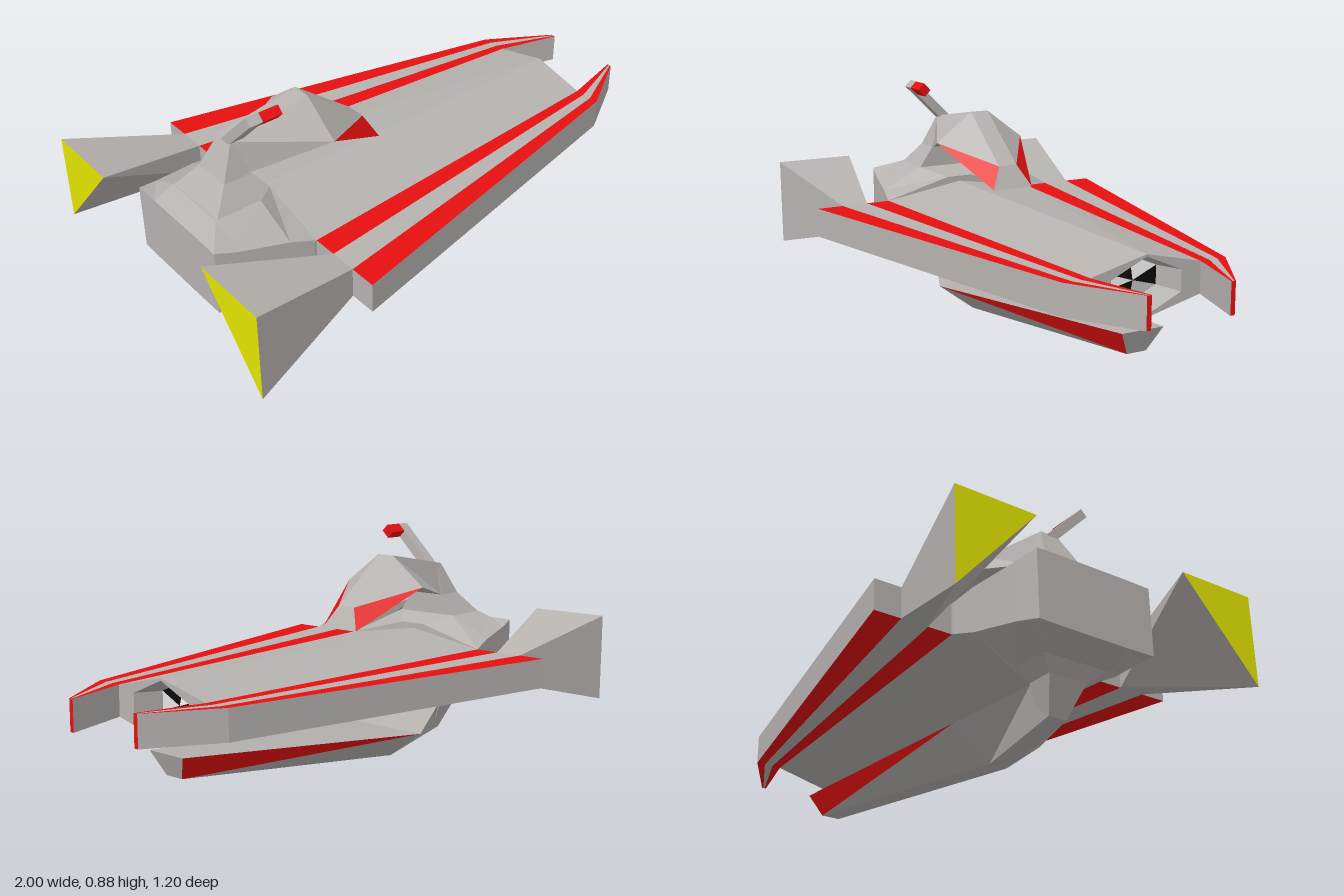
import * as THREE from 'three';

const mat = (name, color) => {
  const m = new THREE.MeshStandardMaterial({ color });
  m.name = name;
  return m;
};

// Flat-faced mesh from polygons; every triangle is turned away from the centre
// (or towards it when inward is true).
function faceted(name, material, polys, centre, inward = false) {
  const c = new THREE.Vector3(...centre), pos = [];
  for (const poly of polys) {
    const p = poly.map(q => new THREE.Vector3(...q));
    for (let i = 1; i < p.length - 1; i++) {
      const t = [p[0], p[i], p[i + 1]];
      const n = t[1].clone().sub(t[0]).cross(t[2].clone().sub(t[0]));
      const mid = t[0].clone().add(t[1]).add(t[2]).divideScalar(3).sub(c);
      if ((n.dot(mid) < 0) !== inward) t.reverse();
      t.forEach(v => pos.push(v.x, v.y, v.z));
    }
  }
  const g = new THREE.BufferGeometry();
  g.setAttribute('position', new THREE.Float32BufferAttribute(pos, 3));
  g.computeVertexNormals();
  const mesh = new THREE.Mesh(g, material);
  mesh.name = name;
  return mesh;
}

// Quads joining consecutive rings of equal length
function bridge(rings) {
  const out = [];
  for (let r = 0; r < rings.length - 1; r++) {
    const a = rings[r], b = rings[r + 1], n = a.length;
    for (let i = 0; i < n; i++) out.push([a[i], a[(i + 1) % n], b[(i + 1) % n], b[i]]);
  }
  return out;
}

// Six-sided section with a ridge above and below
const MID = 0.375;
const hexRing = (x, halfW, sideH, ridgeH) => [
  [x, MID + ridgeH, 0], [x, MID + sideH, halfW], [x, MID - sideH, halfW],
  [x, MID - ridgeH, 0], [x, MID - sideH, -halfW], [x, MID + sideH, -halfW]];

// Eight-sided section with a flat top and bottom
const octRing = (x, w, h, topW, topH) => [
  [x, MID + topH, topW], [x, MID + h, w], [x, MID - h, w], [x, MID - topH, topW],
  [x, MID - topH, -topW], [x, MID - h, -w], [x, MID + h, -w], [x, MID + topH, -topW]];

export function createModel() {
  const grey = mat('hullGrey', 0xb6b2b0), red = mat('stripeRed', 0xe61010);
  const yellow = mat('exhaustYellow', 0xe2e400);
  const black = mat('intakeBlack', 0x0a0a0a), white = mat('intakeWhite', 0xf4f4f4);
  const model = new THREE.Group();
  model.name = 'spaceship';

  // Long hull with an open bow
  const bow = hexRing(0.76, 0.21, 0.055, 0.105);
  const mouth = hexRing(0.76, 0.135, 0.037, 0.097);
  const throat = hexRing(0.66, 0.105, 0.033, 0.08);
  model.add(faceted('hull', grey, bridge([hexRing(-0.58, 0.31, 0.055, 0.105), bow]), [0, MID, 0]));
  model.add(faceted('bowFrame', grey, bridge([bow, mouth]), [0, MID, 0]));
  model.add(faceted('intakeWall', grey, bridge([mouth, throat]), [0.71, MID, 0], true));

  // Alternating panels at the bottom of the intake
  const hub = [0.68, MID, 0];
  const sectors = throat.map((p, i) => [p, throat[(i + 1) % 6], hub]);
  [white, black].forEach((m, k) => model.add(faceted(
    k ? 'darkIntakePanels' : 'lightIntakePanels', m,
    sectors.filter((_, i) => (i + 1) % 2 === k), [0, MID, 0])));

  // Bevelled engine block at the stern
  const block = [octRing(-0.57, 0.31, 0.055, 0.05, 0.125), octRing(-0.66, 0.29, 0.08, 0.13, 0.157),
    octRing(-0.835, 0.25, 0.105, 0.13, 0.157), octRing(-0.91, 0.23, 0.122, 0.13, 0.124)];
  model.add(faceted('engineBlock', grey, [...bridge(block), block[0], block[3]], [-0.74, MID, 0]));

  // Side wings with stripes, and flared tail fins
  for (const s of [1, -1]) {
    const wing = new THREE.Group();
    wing.name = s > 0 ? 'leftWing' : 'rightWing';
    const stations = [[-0.57, 0.30, 0.60], [0.76, 0.21, 0.31], [1, 0.147, 0.164]];
    const at = ([x, a, b], t, y) => [x, y, s * (a + (b - a) * t)];
    const centre = [0.2, MID, s * 0.35];
    const strip = (t0, t1) => [0.32, 0.43].flatMap(y => [0, 1].map(i => [
      at(stations[i], t0, y), at(stations[i], t1, y),
      at(stations[i + 1], t1, y), at(stations[i + 1], t0, y)]));
    const wall = t => [0, 1].map(i => [
      at(stations[i], t, 0.32), at(stations[i], t, 0.43),
      at(stations[i + 1], t, 0.43), at(stations[i + 1], t, 0.32)]);
    const end = st => [at(st, 0, 0.32), at(st, 1, 0.32), at(st, 1, 0.43), at(st, 0, 0.43)];
    wing.add(faceted('wingBody', grey, [...strip(1 / 3, 2 / 3), ...wall(1), end(stations[0])], centre));
    // the inner wall faces the centreline
    wing.add(faceted('wingInnerWall', grey, wall(0), [0.2, MID, s * 3]));
    wing.add(faceted('wingStripes', red, [...strip(0, 1 / 3), ...strip(2 / 3, 1)], centre));
    wing.add(faceted('wingTip', red, [end(stations[2])], centre));

    const root = [[0.43, 0.4], [0.43, 0.5], [0.32, 0.5], [0.32, 0.4]].map(([y, z]) => [-0.57, y, s * z]);
    const tail = [[0.54, 0.3], [0.54, 0.6], [0.21, 0.6]].map(([y, z]) => [-1, y, s * z]);
    wing.add(faceted('tailFin', grey, [
      [root[0], root[1], tail[1], tail[0]], [root[1], root[2], tail[2], tail[1]],
      [root[2], root[3], tail[2]], [root[3], tail[0], tail[2]], [root[3], root[0], tail[0]],
    ], [-0.8, 0.4, s * 0.48]));
    wing.add(faceted('finExhaust', yellow, [tail], [-0.8, 0.4, s * 0.48]));
    model.add(wing);
  }

  // Wedge-shaped pod on a flared neck; used above and, longer, below
  function pod(name, { ys, nose, neck, baseX, centre, neckCentre }) {
    const g = new THREE.Group();
    g.name = name;
    const [yRear, yRearLow, yRidge, ySide] = ys;
    const section = (xa, ya, za, xb, yb, zb) => [[xa, ya, -za], [xa, ya, za], [xb, yb, zb], [xb, yb, -zb]];
    const a = section(-0.70, yRear, 0.035, -0.66, yRearLow, 0.07);
    const b = section(-0.39, yRidge, 0.035, -0.39, ySide, 0.18);
    const c = section(nose[0], nose[1], 0.037, nose[2], nose[3], 0.08);
    g.add(faceted('podShell', grey, [
      a, c, ...bridge([a, b]),
      [b[0], b[1], c[1], c[0]], [b[2], b[3], c[3], c[2]],
      [b[1], b[2], c[1]], [b[0], b[3], c[0]]], centre));
    g.add(faceted('podCheeks', red, [[b[2], c[2], c[1]], [b[3], c[3], c[0]]], centre));
    const ring = (x, y, z) => [[x, y, -z], [-0.66, y, -z], [-0.66, y, z], [x, y, z]];
    g.add(faceted('podNeck', grey, bridge([
      ring(baseX, neck, 0.13), ring(-0.76, yRearLow, 0.075), ring(-0.70, yRear, 0.035)]), neckCentre));
    model.add(g);
  }
  pod('upperPod', {
    ys: [0.73, 0.61, 0.785, 0.675], nose: [-0.16, 0.61, -0.12, 0.53],
    neck: 0.53, baseX: -0.83, centre: [-0.35, 0.71, 0], neckCentre: [-0.7, 0.58, 0] });
  pod('lowerPod', {
    ys: [0.06, 0.175, 0, 0.11], nose: [0.71, 0.14, 0.745, 0.225],
    neck: 0.22, baseX: -0.8, centre: [-0.35, 0.07, 0], neckCentre: [-0.7, 0.17, 0] });

  // Slanted periscope with a red sight
  const scope = new THREE.Group();
  scope.name = 'periscope';
  const post = new THREE.Mesh(new THREE.BoxGeometry(0.05, 0.235, 0.034), grey);
  post.name = 'periscopePost';
  post.position.set(-0.68, -0.0925, 0);
  const sight = new THREE.Mesh(new THREE.BoxGeometry(0.075, 0.04, 0.034), red);
  sight.name = 'periscopeSight';
  sight.position.set(-0.6175, 0.005, 0);
  scope.add(post, sight);
  scope.rotation.x = Math.PI / 4;
  scope.position.set(0, 0.85, 0.138);
  model.add(scope);

  return model;
}
